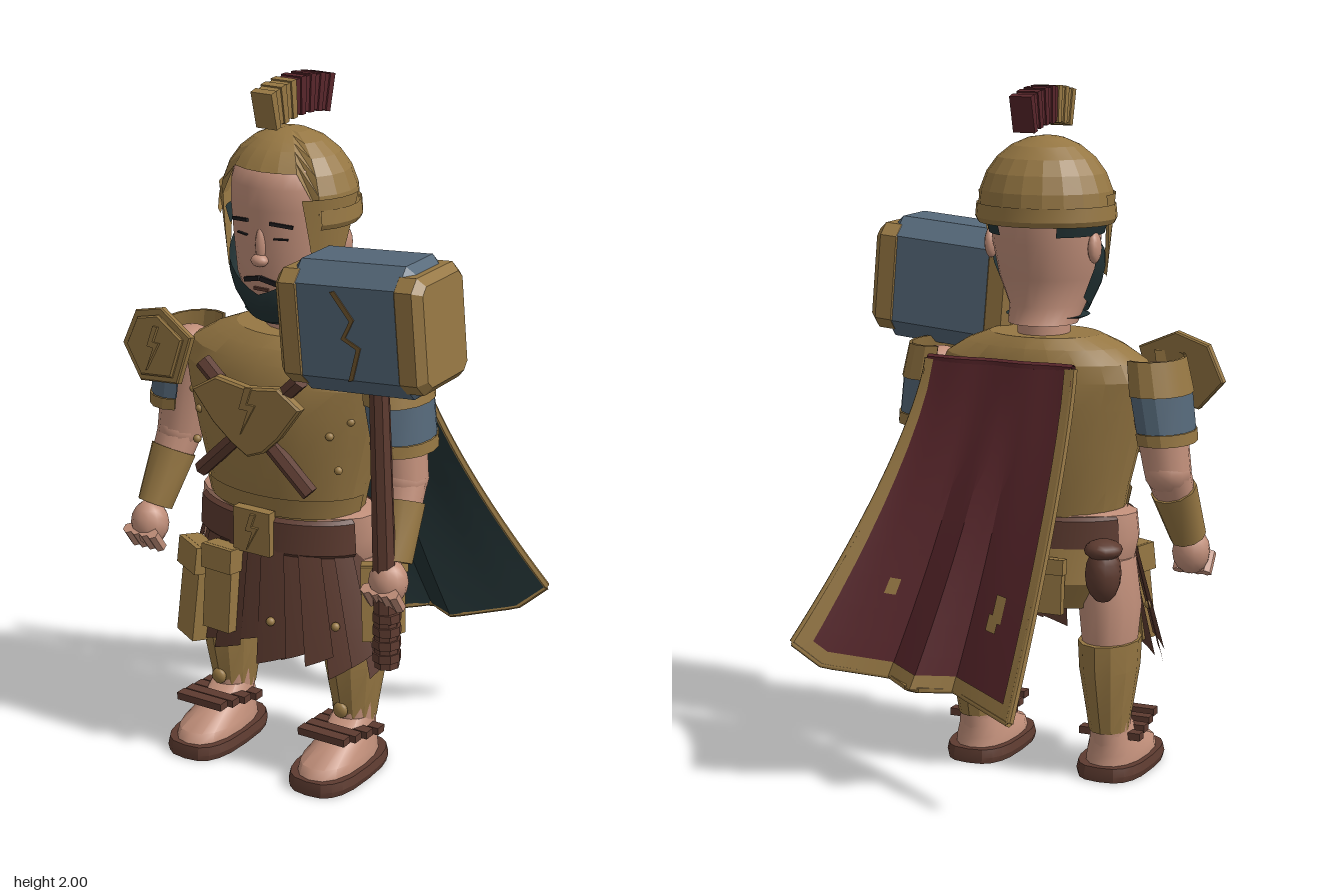
import * as THREE from 'three';
import { toCreasedNormals } from 'three/addons/utils/BufferGeometryUtils.js';

const mat = (name, color) => {
  const m = new THREE.MeshStandardMaterial({ color, side: THREE.DoubleSide });
  m.name = name;
  return m;
};
const V = (x, y, z) => new THREE.Vector3(x, y, z);
const lerp = THREE.MathUtils.lerp;
const MID = -0.035; // body axis

export function createModel() {
  const gold = mat('bronze gold', 0x967743), darkGold = mat('dark gold', 0x73572f);
  const skin = mat('skin', 0xc18f7a), brown = mat('leather brown', 0x5d3b30);
  const red = mat('dark red', 0x57252a), teal = mat('dark teal', 0x233335);
  const blue = mat('steel blue', 0x556879), black = mat('hair black', 0x1b1a1c);

  const root = new THREE.Group();
  root.name = 'warrior';
  const body = new THREE.Group();
  body.name = 'body';
  body.position.x = MID;
  root.add(body);

  const add = (name, geo, m, parent = body, crease = 0.45) => {
    const mesh = new THREE.Mesh(toCreasedNormals(geo, crease), m);
    mesh.name = name;
    parent.add(mesh);
    return mesh;
  };
  // Grid surface from a rule f(u, v)
  const surf = (f, nu, nv) => {
    const pos = [], idx = [];
    for (let j = 0; j <= nv; j++)
      for (let i = 0; i <= nu; i++) pos.push(...f(i / nu, j / nv));
    for (let j = 0; j < nv; j++)
      for (let i = 0; i < nu; i++) {
        const a = j * (nu + 1) + i, b = a + 1, d = a + nu + 1, c = d + 1;
        idx.push(a, b, c, a, c, d);
      }
    const g = new THREE.BufferGeometry();
    g.setAttribute('position', new THREE.Float32BufferAttribute(pos, 3));
    g.setIndex(idx);
    return g;
  };
  // Horizontal oval rings [y, rx, rz, cz, cx], bottom to top; angle 0 is the front
  const loft = (rings, n = 20, a0 = -Math.PI, a1 = Math.PI, p = 1, caps = true) => {
    const bend = (t) => Math.sign(t) * Math.abs(t) ** p;
    const all = caps ? [[rings[0][0], 0, 0, ...rings[0].slice(3)], ...rings,
      [rings.at(-1)[0], 0, 0, ...rings.at(-1).slice(3)]] : rings;
    return surf((u, v) => {
      const [y, rx, rz, cz, cx = 0] = all[Math.round(v * (all.length - 1))], a = lerp(a0, a1, u);
      return [cx + rx * bend(Math.sin(a)), y, cz + rz * bend(Math.cos(a))];
    }, n, all.length - 1);
  };
  const band = (rings, a0, a1, n = 14) => loft(rings, n, a0, a1, 1, false);
  const box = (name, m, [w, h, d], [x, y, z], [rx, ry, rz] = [0, 0, 0]) => {
    const b = add(name, new THREE.BoxGeometry(w, h, d), m);
    b.position.set(x, y, z);
    b.rotation.set(rx, ry, rz);
  };
  const limb = (name, m, a, b, r0, r1, parent = body, n = 12) => {
    const dir = b.clone().sub(a);
    const l = add(name, new THREE.CylinderGeometry(r1, r0, dir.length(), n), m, parent, 0.7);
    l.position.copy(a).add(b).multiplyScalar(0.5);
    l.quaternion.setFromUnitVectors(V(0, 1, 0), dir.normalize());
  };
  const ball = (name, m, [x, y, z], [sx, sy, sz]) => {
    const s = add(name, new THREE.SphereGeometry(1, 12, 8), m, body, 0.9);
    s.position.set(x, y, z);
    s.scale.set(sx, sy, sz);
  };
  const plate = (name, m, pts, depth, [x, y, z], parent = body, bevel = 0) => {
    const shape = new THREE.Shape(pts.map(([a, b]) => new THREE.Vector2(a, b)));
    const p = add(name, new THREE.ExtrudeGeometry(shape, { depth, bevelEnabled: bevel > 0,
      bevelSize: bevel, bevelThickness: bevel, bevelSegments: 1 }), m, parent);
    p.position.set(x, y, z);
    return p;
  };
  const bolt = (s, at, parent = body) => plate('lightningBolt', gold,
    [[0, 1], [0.3, 1], [0.05, 0.3], [0.45, 0.3], [-0.25, -1], [0.12, 0.05], [-0.3, 0.05]]
      .map(([x, y]) => [x * s, y * s]), 0.008, at, parent);

  // Head and face
  add('neck', loft([[1.26, 0.075, 0.08, 0.11], [1.36, 0.075, 0.08, 0.11]], 16), skin, body, 1);
  add('head', loft([[1.33, 0.1, 0.1, 0.105], [1.38, 0.11, 0.115, 0.14],
    [1.46, 0.14, 0.135, 0.14], [1.56, 0.157, 0.145, 0.13], [1.66, 0.163, 0.155, 0.13],
    [1.72, 0.16, 0.155, 0.13], [1.77, 0.145, 0.14, 0.13], [1.8, 0.09, 0.08, 0.13]], 28), skin, body, 1);
  ball('noseBridge', skin, [0, 1.56, 0.27], [0.016, 0.055, 0.02]);
  ball('noseTip', skin, [0, 1.52, 0.28], [0.026, 0.018, 0.022]);
  add('beard', surf((u, v) => {
    const a = lerp(-1.75, 1.75, u), k = Math.abs(a) / 1.75;
    const y = lerp(1.335 + 0.07 * k * k, 1.425 + 0.15 * k ** 1.1, v), r = 0.122 + 0.045 * Math.min(1, v * 1.6);
    return [Math.sin(a) * r, y, 0.135 + Math.cos(a) * (r - 0.013)];
  }, 20, 4), teal, body, 0.8);
  add('beardUnderside', loft([[1.325, 0.065, 0.065, 0.16], [1.35, 0.124, 0.11, 0.14]], 20), teal);
  box('lips', brown, [0.045, 0.008, 0.008], [0, 1.437, 0.273]);
  for (const s of [-1, 1]) {
    box('moustache', black, [0.056, 0.013, 0.012], [s * 0.028, 1.463, 0.274], [0, s * 0.2, -s * 0.25]);
    box('eyebrow', black, [0.065, 0.009, 0.008], [s * 0.066, 1.625, 0.274], [0, s * 0.35, -s * 0.12]);
    box('eye', black, [0.04, 0.004, 0.008], [s * 0.062, 1.585, 0.27], [0, s * 0.35, 0]);
    ball('ear', skin, [s * 0.16, 1.55, 0.1], [0.018, 0.045, 0.03]);
  }

  // Helmet with face opening, rim, cheek guards and crest
  add('helmetDome', surf((u, v) => {
    const a = lerp(-Math.PI, Math.PI, u), phi = v * (Math.abs(a) < 0.64 ? 1.02 : 1.6);
    return [0.198 * Math.sin(phi) * Math.sin(a), 1.66 + 0.2 * Math.cos(phi), 0.125 + 0.178 * Math.sin(phi) * Math.cos(a)];
  }, 20, 6), gold, body, 0.2);
  add('helmetRim', band([[1.615, 0.198, 0.175, 0.125], [1.63, 0.206, 0.182, 0.125], [1.67, 0.202, 0.18, 0.125]],
    0.95, 2 * Math.PI - 0.95, 18), gold);
  for (const s of [-1, 1]) {
    add('hair', band([[1.585, 0.166, 0.156, 0.13], [1.63, 0.18, 0.165, 0.13]], s * 1.1, s * 2.6), teal);
    add('cheekGuard', surf((u, v) => {
      const a = s * lerp(lerp(0.68, 0.92, v), lerp(1.75, 1.3, v), u), r = lerp(0.201, 0.176, v);
      return [r * Math.sin(a), lerp(1.7, 1.46, v), 0.125 + (r - 0.02) * Math.cos(a)];
    }, 5, 4), gold);
  }
  for (let i = 0; i < 13; i++) {
    const a = 0.235 - i * 0.04, inset = (i % 2) * 0.008;
    const g = new THREE.BoxGeometry(0.066 - inset, 0.105 - inset, 0.025), p = g.attributes.position;
    for (let k = 0; k < p.count; k++) if (p.getY(k) < 0) p.setZ(k, p.getZ(k) * 0.84);
    const b = add('crestSegment', g, i < 5 ? gold : red);
    b.position.set(0.005, 1.375 + 0.571 * Math.cos(a), 0.117 + 0.571 * Math.sin(a));
    b.rotation.x = a;
  }

  // Cuirass
  add('cuirass', loft([[0.78, 0.235, 0.15, 0.14], [0.86, 0.25, 0.165, 0.14], [0.98, 0.28, 0.18, 0.14],
    [1.1, 0.308, 0.188, 0.14], [1.18, 0.33, 0.18, 0.135], [1.23, 0.305, 0.168, 0.13], [1.27, 0.24, 0.15, 0.125],
    [1.3, 0.165, 0.125, 0.12]], 24), gold, body, 0.3);
  add('waistBand', band([[0.79, 0.243, 0.16, 0.14], [0.85, 0.256, 0.172, 0.14]], -1.5, 1.5), gold);
  for (const s of [-1, 1]) {
    limb('crossedHandle', brown, V(s * 0.18, 0.89, 0.312), V(-s * 0.16, 1.22, 0.328), 0.024, 0.024, body, 6);
    for (const [x, y] of [[0.26, 1.09], [0.215, 1.05], [0.235, 0.95]])
      ball('rivet', gold, [s * x, y, 0.14 + 0.183 * Math.sqrt(1 - (x / 0.3) ** 2)], [0.012, 0.012, 0.012]);
  }
  plate('chestEmblem', gold, [[-0.175, 1.14], [-0.1, 1.185], [0, 1.17], [0.1, 1.185], [0.165, 1.14], [0.1, 1.05],
    [0.05, 1.0], [0, 0.98], [-0.05, 1.01], [-0.11, 1.06]], 0.02, [0, 0, 0.328], body, 0.006);
  bolt(0.07, [0, 1.11, 0.353]);

  // Hips, belt and skirt
  add('hips', loft([[0.55, 0.22, 0.11, 0.12], [0.64, 0.275, 0.135, 0.125], [0.72, 0.29, 0.14, 0.13],
    [0.79, 0.28, 0.14, 0.135], [0.8, 0.24, 0.13, 0.14]], 20), skin, body, 0.9);
  add('rearGuard', band([[0.5, 0.12, 0.08, 0.12], [0.52, 0.22, 0.145, 0.12], [0.6, 0.275, 0.178, 0.12],
    [0.7, 0.28, 0.168, 0.13]], 2.0, 4.28), gold);
  const beltRings = [[0.68, 0.275, 0.17, 0.14], [0.69, 0.283, 0.178, 0.14], [0.78, 0.277, 0.178, 0.14], [0.79, 0.265, 0.165, 0.14]];
  add('beltFront', band(beltRings, -1.0, 1.2), brown);
  add('beltBack', band(beltRings, 2.0, 4.28), brown);
  box('buckle', gold, [0.12, 0.13, 0.03], [0, 0.745, 0.32]);
  bolt(0.055, [0, 0.745, 0.335]);
  const strips = 13;
  for (let i = 0; i < strips; i++) {
    const c = lerp(-1.25, 1.25, i / (strips - 1));
    const low = 0.385 - 0.035 * Math.abs(c) + 0.025 * Math.sin(i * 2.4), off = (i % 2) * 0.008;
    add('skirtStrip', surf((u, v) => {
      const a = c + (u - 0.5) * 0.26, w = v - (v === 1 ? 0.1 * u : 0);
      const rx = lerp(0.262, 0.36, w) + off, rz = lerp(0.18, 0.222, w) + off;
      return [rx * Math.sin(a), lerp(0.7, low, w), 0.13 + rz * Math.cos(a)];
    }, 2, 3), brown);
    if (i % 3 === 1) ball('skirtStud', gold, [0.325 * Math.sin(c), 0.49, 0.13 + 0.218 * Math.cos(c)], [0.013, 0.013, 0.013]);
  }
  // Pouches and tassets hanging from the belt
  const hang = (name, size, at, rot) => {
    box(name, gold, size, at, rot);
    box(name + 'Flap', gold, [size[0] * 1.12, size[1] * 0.28, size[2] * 1.2], [at[0], at[1] + size[1] * 0.36, at[2]], rot);
  };
  hang('frontPouch', [0.095, 0.25, 0.05], [-0.095, 0.56, 0.34], [-0.1, -0.1, 0]);
  hang('sidePouch', [0.1, 0.29, 0.05], [-0.21, 0.515, 0.305], [-0.12, -0.5, -0.08]);
  hang('hipTasset', [0.04, 0.25, 0.1], [0.315, 0.55, 0.1], [-0.2, 0, 0.12]);
  hang('hipTasset', [0.05, 0.22, 0.05], [0.315, 0.56, 0.21], [-0.15, 0.5, 0.1]);
  for (const x of [-0.09, 0.07]) hang('rearTasset', [0.09, 0.16, 0.025], [x, 0.6, -0.06], [0.06, 0, 0]);
  ball('rearPouch', brown, [-0.24, 0.64, -0.015], [0.052, 0.085, 0.055]);
  ball('rearPouchLid', brown, [-0.24, 0.71, -0.015], [0.055, 0.03, 0.058]);

  // Limbs, mirrored
  for (const s of [-1, 1]) {
    const x = s * 0.21;
    add('leg', loft([[0.1, 0.055, 0.065, 0.12, x], [0.4, 0.078, 0.1, 0.115, x], [0.52, 0.09, 0.11, 0.115, x],
      [0.66, 0.1, 0.115, 0.12, x * 0.85]], 14), skin, body, 0.9);
    add('greave', loft([[0.14, 0.058, 0.07, 0.115, x], [0.2, 0.065, 0.085, 0.115, x], [0.33, 0.084, 0.115, 0.115, x],
      [0.415, 0.088, 0.12, 0.115, x]], 12), gold);
    ball('greaveStud', gold, [x, 0.19, 0.2], [0.024, 0.024, 0.014]);
    add('sandalSole', loft([[0, 0.1, 0.178, 0.207, x], [0.018, 0.105, 0.18, 0.207, x], [0.042, 0.1, 0.175, 0.207, x]],
      20, -Math.PI, Math.PI, 0.7), brown);
    add('foot', loft([[0.04, 0.085, 0.16, 0.21, x], [0.07, 0.083, 0.15, 0.205, x], [0.105, 0.066, 0.105, 0.16, x],
      [0.16, 0.055, 0.07, 0.125, x]], 16, -Math.PI, Math.PI, 0.85), skin, body, 0.9);
    for (let i = 0; i < 4; i++)
      box('sandalStrap', brown, [0.19 - 0.012 * i, 0.022, 0.035], [x, 0.122 + 0.009 * i, 0.13 + 0.053 * i]);

    const shoulder = V(s * 0.34, 1.16, 0.125), elbow = V(s * 0.375, 0.92, 0.135), wrist = V(s * 0.402, 0.71, 0.235);
    limb('upperArm', skin, elbow, shoulder, 0.068, 0.08);
    ball('shoulder', skin, shoulder.toArray(), [0.08, 0.075, 0.085]);
    ball('elbow', skin, elbow.toArray(), [0.068, 0.068, 0.072]);
    limb('forearm', skin, wrist, elbow, 0.045, 0.066);
    limb('bracer', gold, wrist, wrist.clone().lerp(elbow, 0.72), 0.053, 0.068, body, 10);
    ball('palm', skin, [s * 0.402, 0.66, 0.262], [0.056, 0.068, 0.056]);
    for (let i = 0; i < 4; i++)
      limb('finger', skin, V(s * (0.36 + i * 0.028), 0.595, 0.27), V(s * (0.36 + i * 0.028), 0.65, 0.31), 0.018, 0.018, body, 6);
    // Banded shoulder shell, open towards the chest
    const sleeve = (name, m, y0, y1, r0, r1) => {
      const ring = (y, r) => [y, r, r * 1.28, 0.125, s * (0.365 - (y - 1.02) * 0.15)];
      for (const t of [0, 0.008])
        add(name, band([ring(y0, r0 + t), ring(y1, r1 + t)], s * Math.PI / 2 - 2, s * Math.PI / 2 + 2, 10), m);
    };
    sleeve('sleeveCuff', gold, 1.01, 1.045, 0.084, 0.087);
    sleeve('sleeveBand', blue, 1.045, 1.15, 0.083, 0.087);
    sleeve('shoulderGuard', gold, 1.15, 1.25, 0.091, 0.083);
  }
  // Shield-shaped pauldron on the right shoulder
  const pauldron = new THREE.Group();
  pauldron.name = 'pauldron';
  pauldron.position.set(-0.41, 1.19, 0.23);
  pauldron.rotation.set(-0.15, -0.25, 0);
  root.add(pauldron);
  const hex = [[-0.14, -0.01], [-0.095, 0.09], [0.01, 0.115], [0.14, 0.055], [0.1, -0.08], [-0.055, -0.1]];
  plate('pauldronPlate', gold, hex, 0.014, [0, 0, 0], pauldron, 0.004);
  plate('pauldronRaisedFace', gold, hex.map(([x, y]) => [x * 0.8, y * 0.8]), 0.008, [0, 0, 0.014], pauldron, 0.005);
  bolt(0.065, [0, 0, 0.026], pauldron);

  // War hammer
  const hammer = new THREE.Group();
  hammer.name = 'warHammer';
  hammer.position.set(0.315, 1.405, 0.275);
  hammer.rotation.z = 0.085;
  root.add(hammer);
  const block = (name, m, x, w, h, d, c, bevel) => {
    const H = h / 2 - bevel, D = d / 2 - bevel;
    const pts = [[-D + c, -H], [D - c, -H], [D, -H + c], [D, H - c], [D - c, H], [-D + c, H], [-D, H - c], [-D, -H + c]];
    const b = plate(name, m, pts, w - 2 * bevel, [x - w / 2 + bevel, 0, 0], hammer, bevel);
    b.rotation.y = Math.PI / 2;
  };
  block('hammerHead', blue, 0, 0.4, 0.36, 0.245, 0.03, 0.04);
  for (const s of [-1, 1]) block('hammerCap', gold, s * 0.178, 0.095, 0.315, 0.252, 0.02, 0.022);
  const crack = [[-0.045, 0.11], [0.01, 0.035], [-0.02, -0.015], [0.025, -0.04], [-0.005, -0.13]];
  plate('hammerCrack', darkGold, [...crack, ...crack.toReversed().map(([x, y]) => [x + 0.014, y + 0.004])],
    0.006, [0, 0, 0.12], hammer);
  limb('haft', brown, V(0.37, 0.41, 0.27), V(0.34, 1.25, 0.275), 0.036, 0.028, root, 8);
  for (const y of [0.43, 0.47, 0.51, 0.55])
    limb('haftGrip', brown, V(0.369, y, 0.27), V(0.368, y + 0.025, 0.27), 0.041, 0.041, root, 8);

  // Swept cape: red outside, dark lining, gold hem
  const cape = new THREE.Group();
  cape.name = 'cape';
  root.add(cape);
  const hem = [[0, -0.15, 0.29, -0.385], [0.35, 0.08, 0.32, -0.255], [0.5, 0.18, 0.33, -0.325], [0.65, 0.28, 0.34, -0.26],
    [0.9, 0.45, 0.375, -0.35], [1, 0.525, 0.44, -0.385]];
  const capeAt = (u, v, off = 0) => {
    const i = Math.max(0, hem.findIndex((h) => h[0] >= u - 1e-6) - 1);
    const A = hem[i], B = hem[i + 1], t = (u - A[0]) / (B[0] - A[0]);
    const [x, y, z] = [1, 2, 3].map((k) => lerp(A[k], B[k], t));
    return [lerp(lerp(-0.2, 0.25, u), x, v ** 1.4), lerp(1.23, y, v),
      lerp(-0.062 + 0.004 * Math.sin(u * 14), z, v ** 1.25) + off];
  };
  const piece = (name, m, u0, u1, v0, v1, off, n = 20) =>
    add(name, surf((u, v) => capeAt(lerp(u0, u1, u), lerp(v0, v1, v), off), n, 10), m, cape);
  piece('capeOuter', red, 0, 1, 0, 1, -0.01);
  piece('capeLining', teal, 0, 1, 0, 1, 0.012);
  piece('capeHem', gold, 0, 0.05, 0, 1, -0.014, 1);
  piece('capeHem', gold, 0.95, 1, 0, 1, -0.014, 1);
  piece('capeHem', gold, 0, 1, 0.955, 1, -0.014);
  piece('capePatch', gold, 0.17, 0.23, 0.68, 0.76, -0.014, 2);
  piece('capePatch', gold, 0.19, 0.25, 0.74, 0.79, -0.015, 2);
  piece('capePatch', gold, 0.74, 0.79, 0.7, 0.75, -0.014, 2);
  const edge = (name, m, f) => {
    const pts = Array.from({ length: 21 }, (_, i) => V(...f(i / 20)));
    add(name, new THREE.TubeGeometry(new THREE.CatmullRomCurve3(pts), 24, 0.0125, 6), m, cape);
  };
  edge('capeSideEdge', gold, (t) => capeAt(0, t));
  edge('capeSideEdge', gold, (t) => capeAt(1, t));
  edge('capeBottomEdge', gold, (t) => capeAt(t, 1));
  edge('capeCollar', red, (t) => capeAt(t, 0));
  return root;
}
